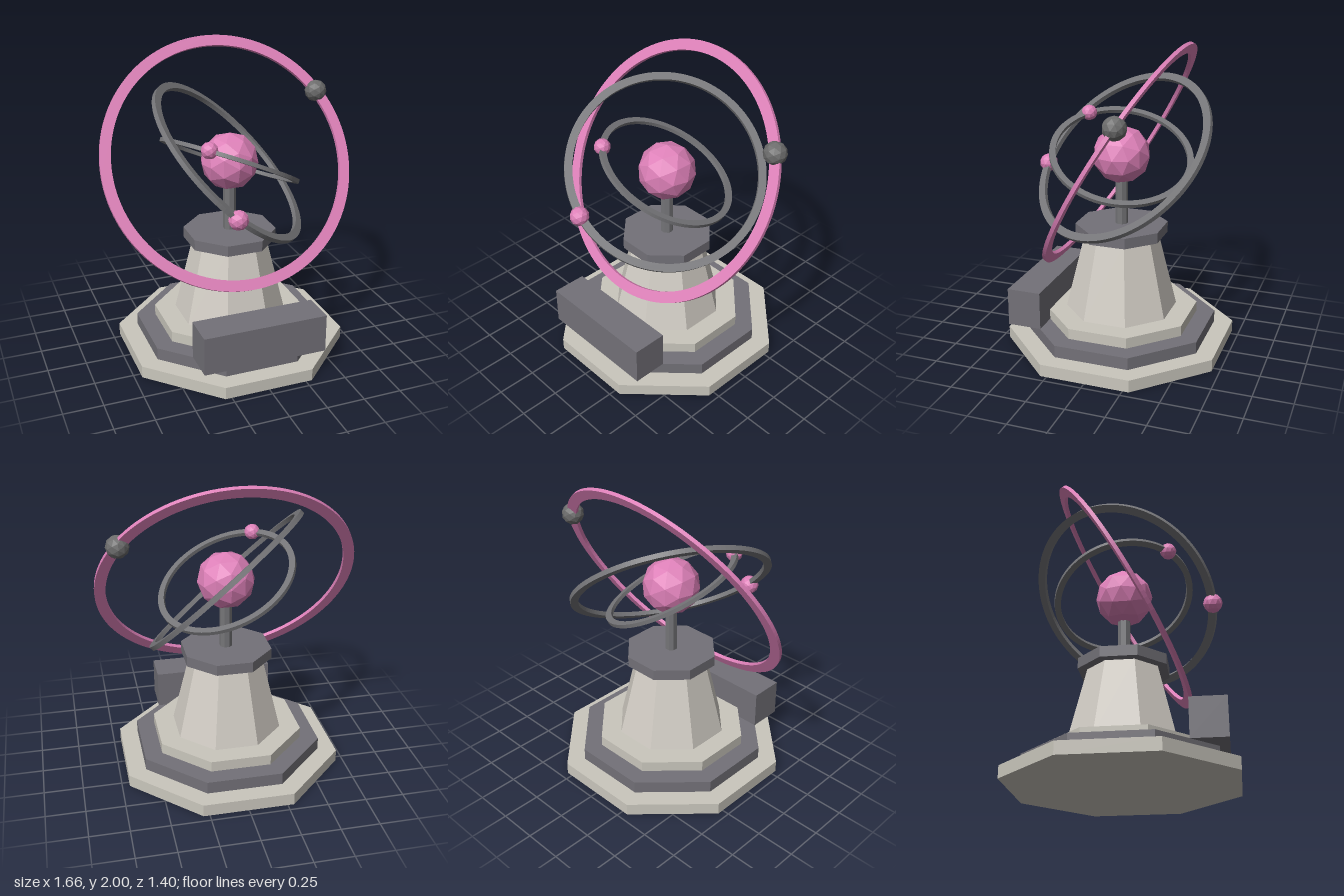
import * as THREE from 'three';

const CENTRE_Y = 1.274;
const rad = THREE.MathUtils.degToRad;

function makeMaterial(name, color) {
  const m = new THREE.MeshStandardMaterial({ color });
  m.name = name;
  m.flatShading = true;
  return m;
}

export function createModel() {
  const group = new THREE.Group();
  const stone = makeMaterial('stone', 0xcac7bd);
  const paleStone = makeMaterial('paleStone', 0xd2cdc5);
  const slate = makeMaterial('slate', 0x737178);
  const steel = makeMaterial('steel', 0x757578);
  const moonGrey = makeMaterial('moonGrey', 0x6c6c6c);
  const pink = makeMaterial('pink', 0xdd80b8);

  function add(name, geometry, material, x = 0, y = 0, z = 0) {
    const mesh = new THREE.Mesh(geometry, material);
    mesh.name = name;
    mesh.position.set(x, y, z);
    group.add(mesh);
    return mesh;
  }

  // Eight-sided block, sized by the distance from centre to flat side
  function octagon(name, bottom, top, y0, y1, material) {
    const k = 1 / Math.cos(Math.PI / 8);
    const geo = new THREE.CylinderGeometry(top * k, bottom * k, y1 - y0, 8, 1, false, Math.PI / 8);
    return add(name, geo, material, 0, (y0 + y1) / 2, 0);
  }

  // Stepped base, tapered column, cap and post
  octagon('baseStep', 0.702, 0.702, 0, 0.08, stone);
  octagon('middleStep', 0.585, 0.585, 0.08, 0.16, slate);
  octagon('upperStep', 0.47, 0.47, 0.16, 0.23, stone);
  octagon('column', 0.34, 0.222, 0.23, 0.745, paleStone);
  octagon('columnCap', 0.28, 0.28, 0.742, 0.812, slate);
  octagon('post', 0.038, 0.038, 0.812, 1.15, steel);

  // Block on the front of the base
  add('frontBlock', new THREE.BoxGeometry(0.81, 0.25, 0.225), slate, 0, 0.285, 0.5325);

  // Flat band of rectangular section, leaning by tilt towards the heading
  function ring(name, outer, width, thickness, tilt, heading, material) {
    const shape = new THREE.Shape();
    shape.absarc(0, 0, outer, 0, Math.PI * 2);
    const hole = new THREE.Path();
    hole.absarc(0, 0, outer - width, 0, Math.PI * 2, true);
    shape.holes.push(hole);
    const geo = new THREE.ExtrudeGeometry(shape, { depth: thickness, bevelEnabled: false, curveSegments: 64 });
    geo.translate(0, 0, -thickness / 2);
    const mesh = add(name, geo, material, 0, CENTRE_Y, 0);
    const t = rad(tilt), h = rad(heading);
    const normal = new THREE.Vector3(Math.sin(t) * Math.sin(h), Math.cos(t), Math.sin(t) * Math.cos(h));
    mesh.quaternion.setFromUnitVectors(new THREE.Vector3(0, 0, 1), normal);
  }
  ring('outerRing', 0.832, 0.07, 0.024, 60, 0, pink);
  ring('middleRing', 0.645, 0.05, 0.03, 45, 60, steel);
  ring('innerRing', 0.462, 0.04, 0.025, 27.5, 120, steel);

  // Faceted central ball and the small balls riding on the rings
  const ball = (name, r, material, x, y, z) =>
    add(name, new THREE.IcosahedronGeometry(r, 1), material, x, y, z);
  ball('centralBall', 0.187, pink, 0, CENTRE_Y, 0);
  ball('outerRingBall', 0.073, moonGrey, 0.69, 1.62, -0.2);
  ball('middleRingBall', 0.062, pink, -0.165, 1.12, 0.583);
  ball('innerRingBall', 0.053, pink, -0.245, 1.47, 0.315);

  return group;
}
